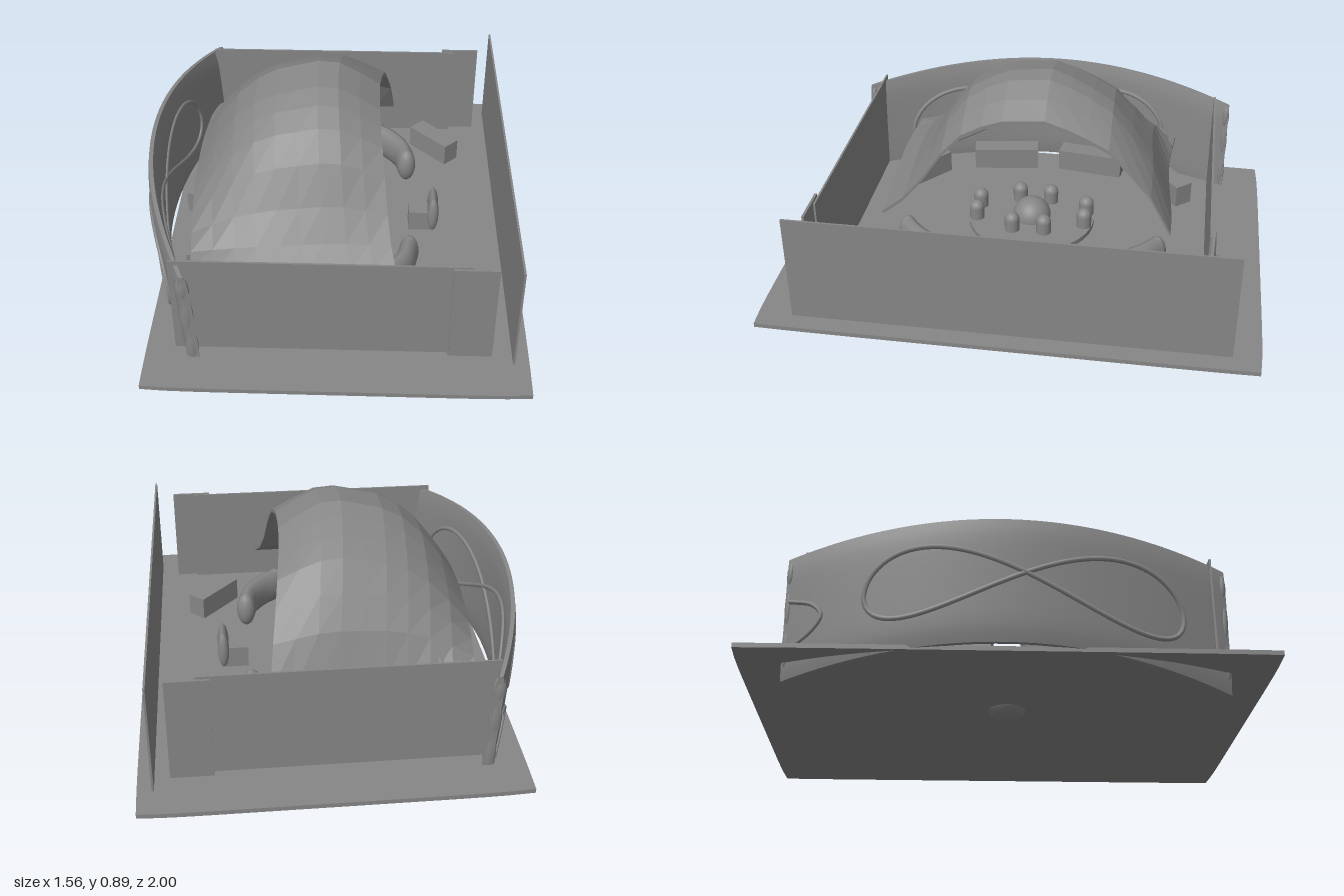
import * as THREE from 'three';

const smooth = new THREE.MeshStandardMaterial({ color: 0x868686, side: THREE.DoubleSide });
const faceted = new THREE.MeshStandardMaterial({ color: 0x868686, side: THREE.DoubleSide, flatShading: true });

export function createModel() {
  const model = new THREE.Group();

  const add = (name, geometry, x = 0, y = 0, z = 0, ry = 0, material = smooth) => {
    const mesh = new THREE.Mesh(geometry, material);
    mesh.name = name;
    mesh.position.set(x, y, z);
    mesh.rotation.y = ry;
    model.add(mesh);
    return mesh;
  };
  // Box given by its limits on each axis
  const slab = (name, x0, x1, y0, y1, z0, z1) =>
    add(name, new THREE.BoxGeometry(x1 - x0, y1 - y0, z1 - z0), (x0 + x1) / 2, (y0 + y1) / 2, (z0 + z1) / 2);
  // Move every vertex of a geometry by a rule
  const warp = (geometry, rule) => {
    const p = geometry.attributes.position;
    const v = new THREE.Vector3();
    for (let i = 0; i < p.count; i++) {
      rule(v.fromBufferAttribute(p, i));
      p.setXYZ(i, v.x, v.y, v.z);
    }
    geometry.computeVertexNormals();
    return geometry;
  };
  // Linear interpolation through [input, output] pairs
  const interpolate = (pairs, k) => {
    if (k <= pairs[0][0]) return pairs[0][1];
    for (let i = 1; i < pairs.length; i++) {
      const [a, fa] = pairs[i - 1], [b, fb] = pairs[i];
      if (k <= b) return fa + (fb - fa) * (k - a) / (b - a);
    }
    return pairs[pairs.length - 1][1];
  };

  // Base plate with slightly bowed edges
  add('basePlate', warp(new THREE.BoxGeometry(1.486, 0.018, 2, 16, 1, 16), v => {
    const bx = v.x / 0.743, bz = v.z;
    v.x *= 1 - 0.005 * bz ** 8;
    v.z *= 1 - 0.008 * bx ** 8;
  }), 0.03, 0.097, 0);

  // Straight walls and door panels
  slab('frontWall', -0.6, 0.535, 0.105, 0.54, 0.771, 0.779);
  slab('backWall', -0.6, 0.535, 0.105, 0.54, -0.771, -0.763);
  slab('frontDoor', 0.46, 0.63, 0.09, 0.54, 0.786, 0.796);
  slab('backDoor', 0.48, 0.648, 0.09, 0.54, -0.796, -0.786);
  slab('sideWall', 0.706, 0.714, 0.12, 0.575, -0.885, 0.85);

  // Curved, leaning, pillowed wall: s runs along it, t up it, d through it
  const onWall = (s, t, d) => {
    const low = 0.11 - 0.105 * s * s + (s < 0 ? 0.015 * s * s : 0);
    const high = 0.6 - 0.09 * s * s;
    const pinch = 1 - 0.6 * Math.abs(2 * t - 1) ** 6;
    return new THREE.Vector3(
      -0.762 + 0.2 * s * s + 0.02 * s + 0.03 * (1 - t) + 0.042 * (d - 0.5) * pinch,
      low + (high - low) * t,
      0.835 * s);
  };
  add('curvedWall', warp(new THREE.BoxGeometry(1, 1, 2, 1, 14, 32),
    v => v.copy(onWall(v.z, v.y + 0.5, v.x + 0.5))));

  // Raised figure-eight rim on both faces of the curved wall
  for (const d of [0, 1]) {
    const points = [];
    for (let i = 0; i < 48; i++) {
      const a = i / 48 * Math.PI * 2;
      const s = 0.07 + 0.71 * Math.cos(a);
      points.push(onWall(s, 0.55 + 0.27 * Math.sin(2 * a) - 0.2 * s * s, d));
    }
    add('wallRim', new THREE.TubeGeometry(new THREE.CatmullRomCurve3(points, true), 120, 0.01, 8, true));
  }
  // Rounded trim at both ends of the curved wall
  for (const end of [-1, 1]) {
    for (const [t, half] of [[0.86, 0.06], [0.6, 0.1], [0.28, 0.1]]) {
      const p = onWall(end * 0.985, t, 0.5);
      const trim = add('wallEndTrim', new THREE.SphereGeometry(1, 16, 12), p.x, p.y, p.z);
      trim.scale.set(0.026, half, 0.016);
    }
  }
  // Part-loop rim on the outer face near the back end
  const arc = [-1, -0.5, 0, 0.5, 1].map(k => onWall(-0.83 - 0.15 * k * k, 0.42 + 0.2 * k, 0));
  add('wallEndRim', new THREE.TubeGeometry(new THREE.CatmullRomCurve3(arc), 24, 0.009, 8));

  // Draped canopy, open towards +x
  const along = [[-0.58, 0.13], [-0.54, 0.2], [-0.45, 0.34], [-0.37, 0.43], [-0.27, 0.5],
    [-0.07, 0.55], [0.03, 0.54], [0.18, 0.44]];
  const across = [[-0.6, 0], [-0.5, 0.42], [-0.33, 0.8], [-0.1, 1], [0.12, 0.96],
    [0.3, 0.76], [0.4, 0.42], [0.5, 0.15], [0.6, 0]];
  add('canopy', warp(new THREE.BoxGeometry(1, 0.016, 1, 9, 1, 14), v => {
    const u = v.x + 0.5, w = v.z * 2;
    const z = 0.6 * w;
    const x = -0.58 + 0.76 * u;
    v.y += 0.337 + interpolate(along, x) * interpolate(across, z);
    v.x = x + (u * 0.075 + (1 - u) * 0.03) * w * w;
    v.z = z + 0.015 * Math.sin(u * 5) * w * w;
  }), 0, 0, 0, 0, faceted);

  // Round table with a ball foot and mirrored stubs
  add('ballFoot', new THREE.SphereGeometry(0.085, 28, 20), -0.13, 0.13, 0.01);
  add('roundTable', new THREE.CylinderGeometry(0.28, 0.28, 0.025, 40), -0.13, 0.115, 0.01);
  for (const [dx, dz] of [[0.125, 0.07], [0.05, 0.24]]) {
    for (const mx of [-1, 1]) for (const mz of [-1, 1]) {
      const x = -0.13 + mx * dx, z = 0.01 + mz * dz;
      add('tableStub', new THREE.CylinderGeometry(0.033, 0.033, 0.06, 16), x, 0.15, z);
      add('stubCap', new THREE.SphereGeometry(0.033, 16, 8, 0, Math.PI * 2, 0, Math.PI / 2), x, 0.18, z);
    }
  }

  // Block benches around the floor
  for (const [x, z, length, ry] of [
    [0.45, -0.575, 0.23, -0.8], [0.46, 0.47, 0.24, 0.84],
    [-0.44, -0.585, 0.23, 0.7], [-0.43, 0.56, 0.23, -0.7],
    [-0.6, -0.21, 0.3, 1.43], [-0.59, 0.2, 0.3, -1.43]]) {
    add('bench', new THREE.BoxGeometry(length, 0.1, 0.085), x, 0.156, z, ry);
  }

  // Curved sofas either side of the opening
  for (const side of [-1, 1]) {
    const shift = side > 0 ? -0.06 : 0;
    const path = new THREE.CatmullRomCurve3([[0.17, 0.56], [0.24, 0.5], [0.295, 0.42], [0.315, 0.34]]
      .map(([x, z]) => new THREE.Vector3(x, 0, side * (z + shift))));
    const sofa = new THREE.Group();
    sofa.name = 'curvedSofa';
    sofa.position.y = 0.19;
    sofa.scale.y = 1.9;
    sofa.add(new THREE.Mesh(new THREE.TubeGeometry(path, 20, 0.042, 12), smooth));
    for (const k of [0, 1]) {
      const cap = new THREE.Mesh(new THREE.SphereGeometry(0.042, 14, 10), smooth);
      cap.position.copy(path.getPoint(k));
      sofa.add(cap);
    }
    sofa.children.forEach((part, i) => { part.name = i ? 'sofaEnd' : 'sofaBody'; });
    model.add(sofa);
  }

  // Single seat facing the canopy
  slab('seat', 0.32, 0.42, 0.105, 0.2, -0.06, 0.03);
  const back = add('seatBack', new THREE.CapsuleGeometry(0.024, 0.085, 6, 14), 0.426, 0.19, -0.015);
  back.rotation.x = Math.PI / 2;
  back.scale.z = 3.5;

  return model;
}
